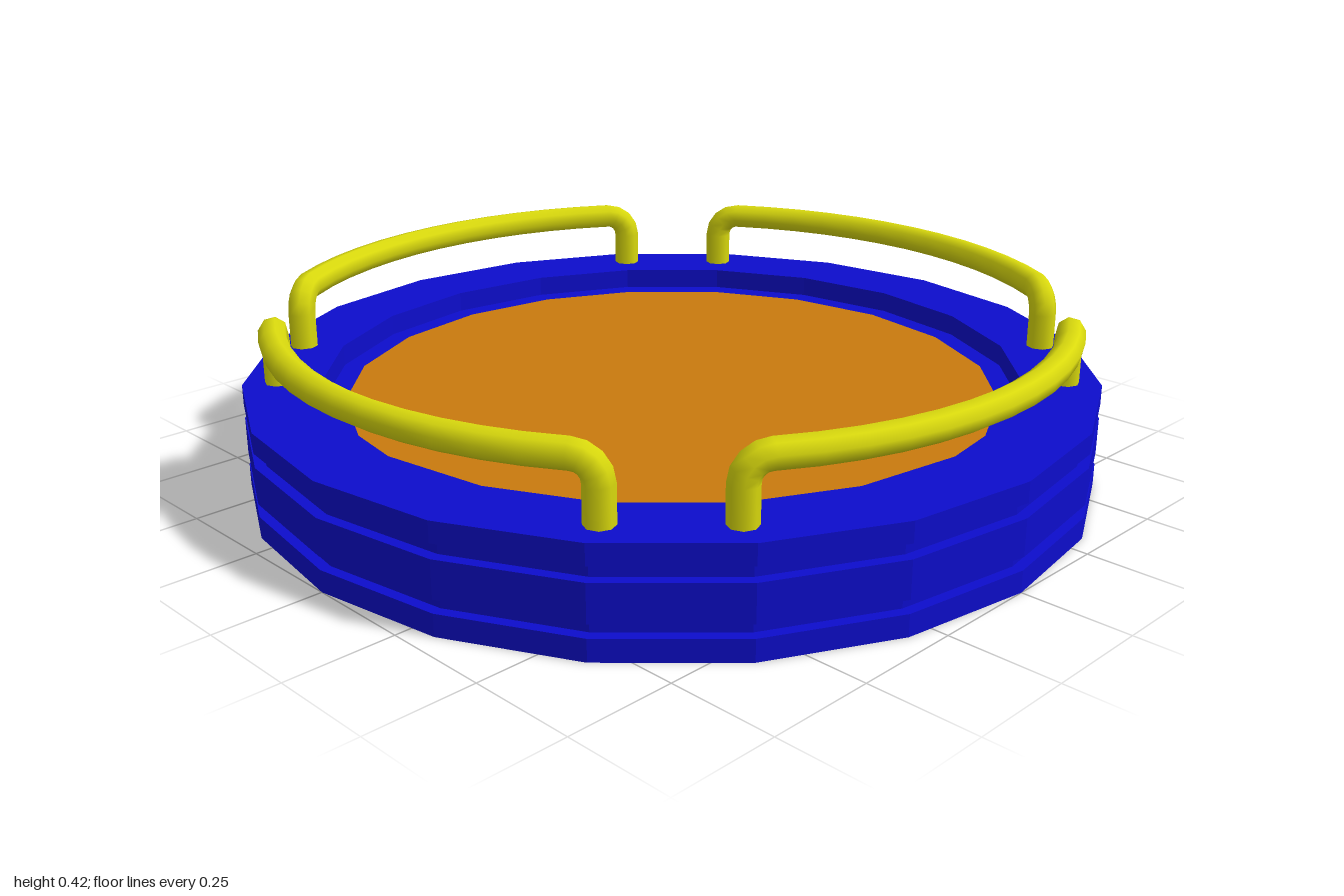
import * as THREE from 'three';

const SIDES = 20;
const blue = new THREE.MeshStandardMaterial({ color: 0x0d0dcc, flatShading: true });
const orange = new THREE.MeshStandardMaterial({ color: 0xc97a0e, flatShading: true });
const yellow = new THREE.MeshStandardMaterial({ color: 0xd9d90d });

// Polyline curve sampled exactly at its own stations
class StationCurve extends THREE.Curve {
  constructor(points) {
    super();
    this.points = points;
  }
  getPoint(t, target = new THREE.Vector3()) {
    const last = this.points.length - 1;
    const i = Math.min(Math.floor(t * last + 1e-9), last - 1);
    return target.lerpVectors(this.points[i], this.points[i + 1], t * last - i);
  }
  getUtoTmapping(u) {
    return u;
  }
}

// Handrail: post, rounded bend, arc along the rim, and the same mirrored
function railGeometry() {
  const radius = 0.917, top = 0.383, bend = 0.055, half = 0.64;
  const at = (angle, y) =>
    new THREE.Vector3(Math.sin(angle) * radius, y, Math.cos(angle) * radius);
  const start = [at(-half, 0.23)];
  for (let i = 0; i <= 4; i++) {
    const a = (i / 4) * Math.PI / 2;
    start.push(at(-half + (bend / radius) * (1 - Math.cos(a)), top - bend * (1 - Math.sin(a))));
  }
  const end = start.map(p => new THREE.Vector3(-p.x, p.y, p.z)).reverse();
  const arcHalf = half - bend / radius;
  const arc = [];
  for (let i = 1; i < 12; i++) arc.push(at(-arcHalf + (2 * arcHalf * i) / 12, top));
  const points = [...start, ...arc, ...end];
  return new THREE.TubeGeometry(new StationCurve(points), points.length - 1, 0.033, 8);
}

export function createModel() {
  const model = new THREE.Group();
  model.name = 'railedPlatform';
  const add = (name, geometry, material) => {
    const mesh = new THREE.Mesh(geometry, material);
    mesh.name = name;
    model.add(mesh);
    return mesh;
  };

  // Base ring with two grooves, a raised rim and a recessed ledge
  const profile = [
    [0, 0], [1, 0], [1, 0.05], [0.975, 0.05], [0.975, 0.08], [1, 0.08],
    [1, 0.165], [0.975, 0.165], [0.975, 0.198], [1, 0.198], [1, 0.245],
    [0.82, 0.245], [0.82, 0.195], [0.77, 0.195],
  ].map(([r, y]) => new THREE.Vector2(r, y));
  add('base', new THREE.LatheGeometry(profile, SIDES), blue);

  // Floor disc inside the ledge
  const floor = add('floor', new THREE.CircleGeometry(0.77, SIDES), orange);
  floor.rotation.x = -Math.PI / 2;
  floor.position.y = 0.195;

  // Four handrails around the rim
  const rail = railGeometry();
  ['front', 'left', 'back', 'right'].forEach((side, i) => {
    add(side + 'Handrail', rail, yellow).rotation.y = (i * Math.PI) / 2;
  });

  return model;
}
